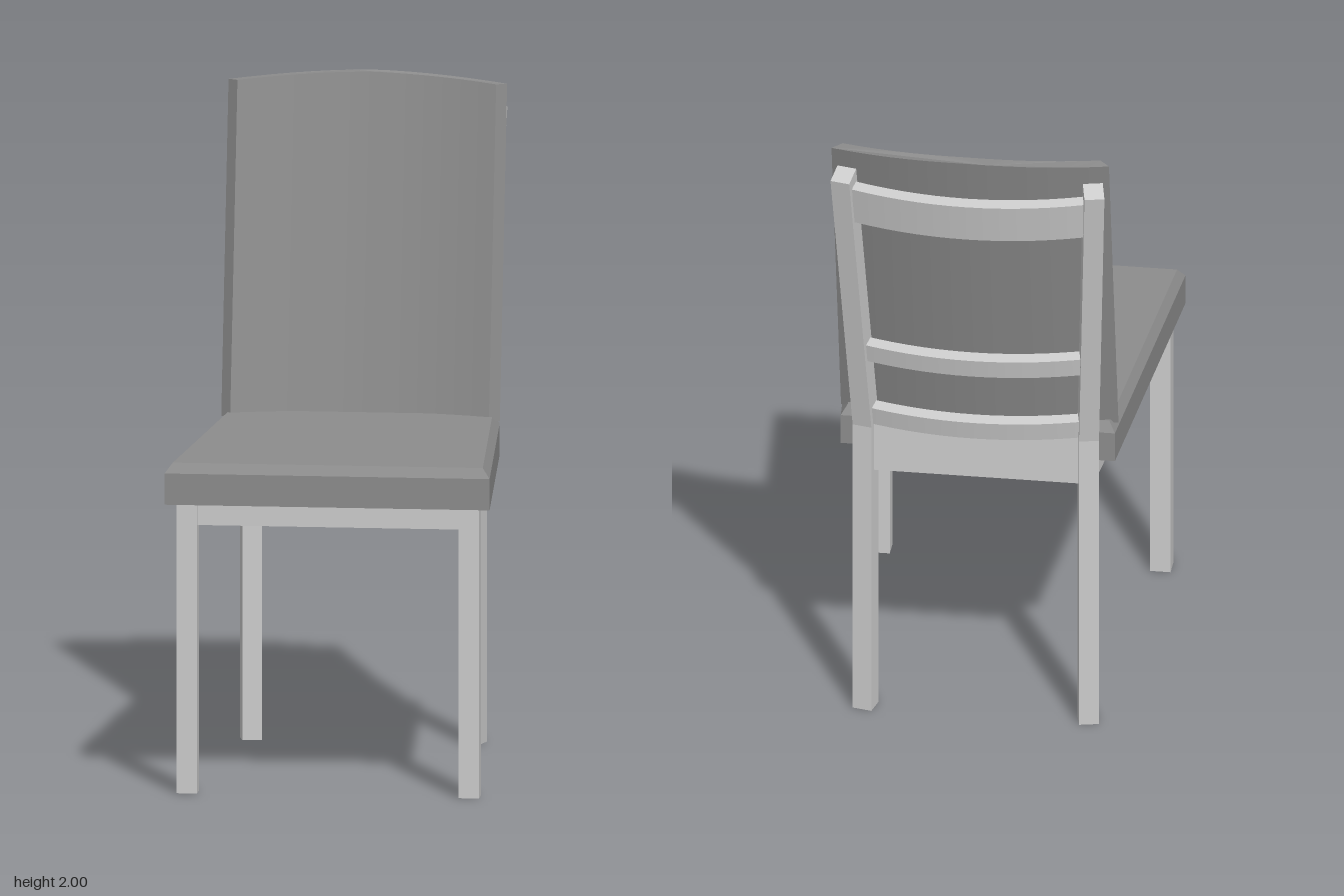
import * as THREE from 'three';

const frameMat = new THREE.MeshStandardMaterial({ color: 0xcccccc });
frameMat.name = 'light grey frame';
const cushionMat = new THREE.MeshStandardMaterial({ color: 0x8c8c8c });
cushionMat.name = 'mid grey upholstery';

const LEAN = 0.21; // backward travel of the back per unit of height

function flat(geo) {
  const g = geo.index ? geo.toNonIndexed() : geo;
  g.computeVertexNormals();
  return g;
}

// Moves every vertex by a rule, then restores faceted normals
function reshape(geo, rule) {
  const p = geo.attributes.position;
  const v = new THREE.Vector3();
  for (let i = 0; i < p.count; i++) {
    rule(v.fromBufferAttribute(p, i));
    p.setXYZ(i, v.x, v.y, v.z);
  }
  return flat(geo);
}

// Curved upright slab: front and back arcs in plan, given as { half, z, sag }
function arcSlab(front, back, y0, y1, steps = 14) {
  const pts = [];
  const arc = (a, from, to) => {
    for (let i = 0; i <= steps; i++) {
      const t = from + (to - from) * i / steps;
      pts.push(new THREE.Vector2(t * a.half, -(a.z + a.sag * t * t)));
    }
  };
  arc(front, -1, 1);
  arc(back, 1, -1);
  const geo = new THREE.ExtrudeGeometry(new THREE.Shape(pts), { depth: y1 - y0, bevelEnabled: false });
  return geo.rotateX(-Math.PI / 2).translate(0, y0, 0);
}

export function createModel() {
  const chair = new THREE.Group();
  chair.name = 'chair';
  const add = (name, geo, mat, x = 0, y = 0, z = 0) => {
    const m = new THREE.Mesh(geo, mat);
    m.name = name;
    m.position.set(x, y, z);
    chair.add(m);
    return m;
  };

  // Seat: tapering pad with a chamfered top edge
  const seat = reshape(new THREE.BoxGeometry(2, 2, 1, 1, 2, 1), (v) => {
    const top = v.y > 0.5;
    const inset = top ? 0.021 : 0;
    const side = Math.sign(v.x);
    const z = v.z > 0 ? 0.63 - inset : -0.37 + inset;
    v.x = side * (0.49 - (0.63 - z) * 0.075 - inset);
    v.y = top ? 1.005 : v.y > -0.5 ? 0.975 : 0.88;
    v.z = z;
  });
  add('seatCushion', seat, cushionMat);

  // Back cushion: leaning, curved, with a gently arched top
  const backPad = reshape(
    arcSlab({ half: 0.39, z: -0.367, sag: 0.068 }, { half: 0.42, z: -0.407, sag: 0.078 }, 0.99, 1.98),
    (v) => {
      if (v.y > 1.5) v.y += 0.022 * (1 - Math.min(1, Math.abs(v.x) / 0.42) ** 1.5);
      v.z -= LEAN * (v.y - 1);
    });
  add('backCushion', backPad, cushionMat);

  // Curved slats behind the back cushion
  for (const [name, y0, y1] of [['lowerSlat', 0.98, 1.04], ['middleSlat', 1.22, 1.28], ['topSlat', 1.75, 1.875]]) {
    const geo = reshape(
      arcSlab({ half: 0.35, z: -0.411, sag: 0.045 }, { half: 0.35, z: -0.45, sag: 0.045 }, y0, y1),
      (v) => {
        const z = v.z;
        v.z -= LEAN * (v.y - 1);
        v.y += LEAN * (z + 0.39);
      });
    add(name, geo, frameMat);
  }

  // Bent rear post profile: distance backward, height
  const post = new THREE.Shape([
    [-0.03, 0], [0.03, 0], [0.03, 0.97], [0.217, 1.9], [0.158, 1.923], [-0.03, 0.985],
  ].map(([u, y]) => new THREE.Vector2(u, y)));

  for (const [label, s] of [['left', 1], ['right', -1]]) {
    // Front leg
    add(label + 'FrontLeg', new THREE.BoxGeometry(0.062, 0.88, 0.062), frameMat, s * 0.425, 0.44, 0.58);

    // Rear leg and back post in one piece, turned slightly outward
    const rear = new THREE.ExtrudeGeometry(post, { depth: 0.06, bevelEnabled: false });
    rear.translate(0, 0, -0.03).rotateY(Math.PI / 2 - s * 0.225);
    add(label + 'RearPost', rear, frameMat, s * 0.337, 0, -0.39);

    // Side rail between the legs
    const dx = 0.088, dz = 0.95;
    const rail = add(label + 'SideRail', new THREE.BoxGeometry(0.04, 0.065, Math.hypot(dx, dz)), frameMat,
      s * 0.381, 0.8475, 0.1);
    rail.rotation.y = s * Math.atan2(dx, dz);
  }

  // Front and rear rails
  add('frontRail', new THREE.BoxGeometry(0.8, 0.065, 0.04), frameMat, 0, 0.8475, 0.58);
  add('rearRail', new THREE.BoxGeometry(0.64, 0.165, 0.03), frameMat, 0, 0.8975, -0.39);

  return chair;
}
